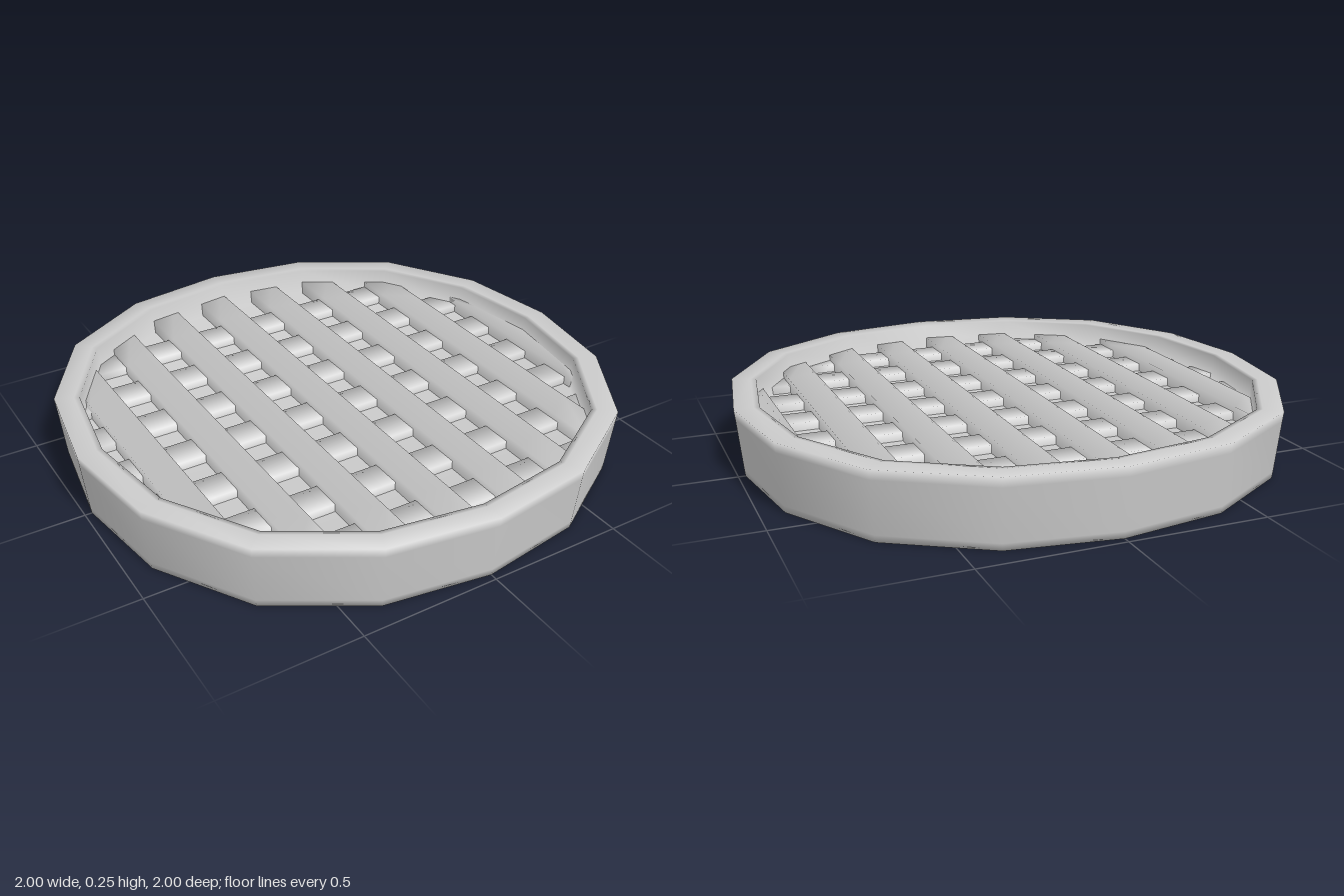
import * as THREE from 'three';
import { mergeVertices } from 'three/addons/utils/BufferGeometryUtils.js';

const material = new THREE.MeshStandardMaterial({ color: 0xcccccc });

// Weld shared corners so the shading rolls softly over every edge
function soften(geometry) {
  geometry.deleteAttribute('uv');
  geometry.deleteAttribute('normal');
  const welded = mergeVertices(geometry, 1e-4);
  welded.computeVertexNormals();
  return welded;
}

function addMesh(group, geometry, name) {
  const mesh = new THREE.Mesh(geometry, material);
  mesh.name = name;
  group.add(mesh);
}

// Sixteen-sided dish, very slightly squared towards the diagonals
function dishGeometry() {
  const profile = [
    [0, 0], [0.975, 0], [0.978, 0.025], [0.996, 0.21], [1, 0.245],
    [0.93, 0.245], [0.91, 0.243], [0.9, 0.14], [0, 0.14],
  ].map(([r, y]) => new THREE.Vector2(r, y));
  const geometry = new THREE.LatheGeometry(profile, 16);
  const p = geometry.attributes.position;
  for (let i = 0; i < p.count; i++) {
    const angle = Math.atan2(p.getZ(i), p.getX(i));
    const k = 1 + 0.035 * Math.sin(2 * angle) ** 2;
    p.setX(i, p.getX(i) * k);
    p.setZ(i, p.getZ(i) * k);
  }
  return soften(geometry);
}

// Lattice strip along z, its ends cut to the round wall
const REACH = 0.95;
const HEIGHT = 0.11;
function stripGeometry(offset, top) {
  const geometry = new THREE.BoxGeometry(0.117, HEIGHT, 2, 1, 1, 8);
  geometry.translate(offset, top - HEIGHT / 2, 0);
  const p = geometry.attributes.position;
  for (let i = 0; i < p.count; i++) {
    p.setZ(i, p.getZ(i) * Math.sqrt(REACH ** 2 - p.getX(i) ** 2));
  }
  return geometry;
}

export function createModel() {
  const model = new THREE.Group();
  model.name = 'latticeDish';
  addMesh(model, dishGeometry(), 'dish');

  // Upper strips run front to back
  const upper = new THREE.Group();
  upper.name = 'upperStrips';
  for (let i = 0; i < 8; i++) {
    addMesh(upper, soften(stripGeometry(-0.762 + 0.235 * i, 0.192)), 'upperStrip');
  }

  // Lower strips run side to side
  const lower = new THREE.Group();
  lower.name = 'lowerStrips';
  for (let i = 0; i < 7; i++) {
    const strip = stripGeometry(0.647 - 0.235 * i, 0.17);
    strip.rotateY(Math.PI / 2);
    addMesh(lower, soften(strip), 'lowerStrip');
  }

  model.add(upper, lower);
  return model;
}
